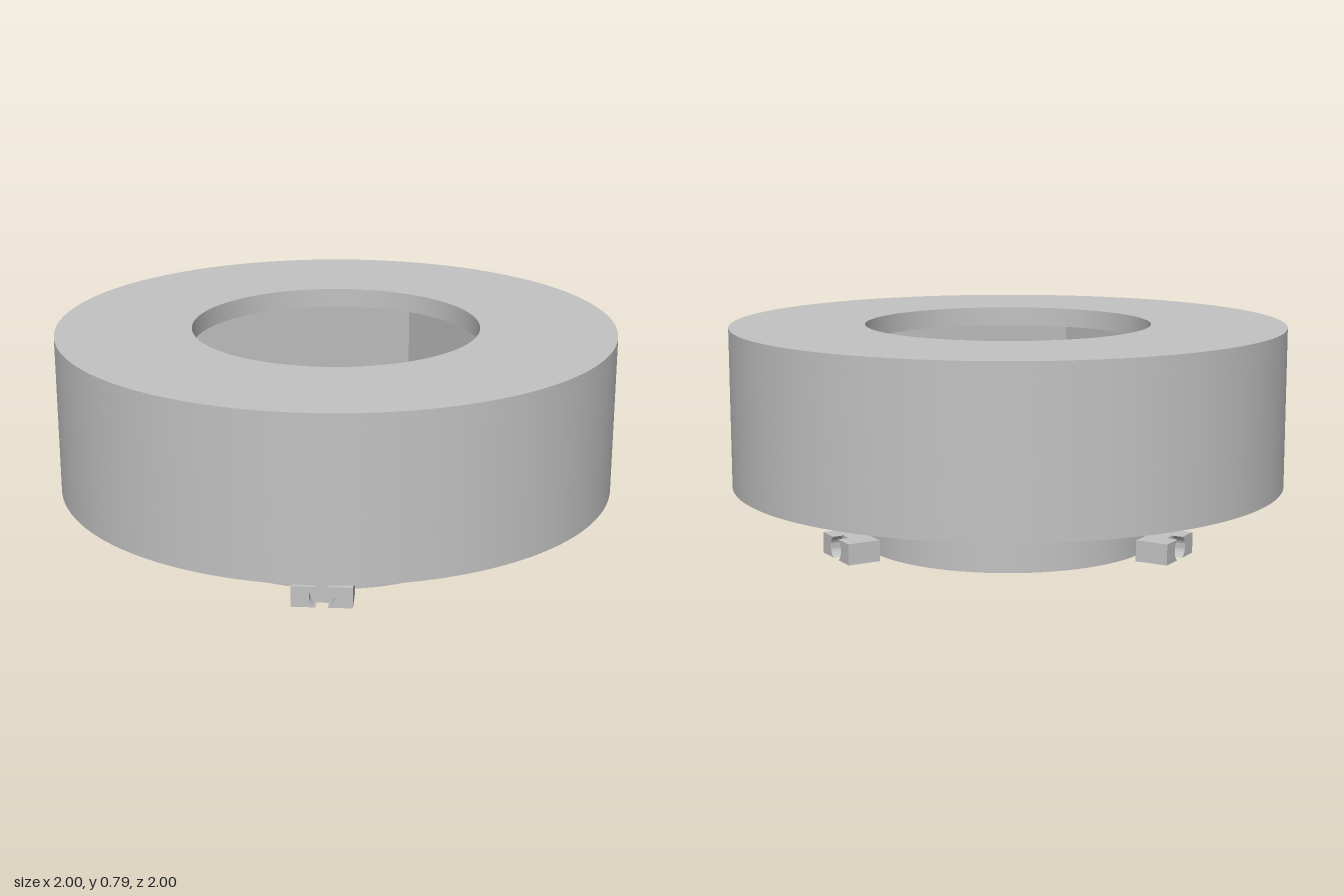
import * as THREE from 'three';
import { toCreasedNormals } from 'three/addons/utils/BufferGeometryUtils.js';

const R = 1, BOTTOM = 0.217, CEILING = 0.72, TOP = 0.79;
const POCKET = 0.65;          // half side of the square pocket
const BORE = 0.515;           // opening in the top plate
const BLIND_TOP = 0.42;       // end of the small blind holes
const CLIP_H = 0.075, CLIP_W = 0.21, CLIP_IN = 0.575, CLIP_OUT = 0.695;
const NOTCH_R = 0.043, NOTCH_DEPTH = 0.04;

export function createModel() {
  const model = new THREE.Group();
  const grey = new THREE.MeshStandardMaterial({ color: 0xc2c2c2 });
  grey.name = 'light grey';

  const add = (parent, name, geometry, x = 0, y = 0, z = 0) => {
    const mesh = new THREE.Mesh(geometry, grey);
    mesh.name = name;
    mesh.position.set(x, y, z);
    parent.add(mesh);
    return mesh;
  };

  const circle = (x, y, r) => new THREE.Path().absarc(x, y, r, 0, Math.PI * 2, true);
  const square = () => new THREE.Path([[-1, -1], [-1, 1], [1, 1], [1, -1]]
    .map(([x, y]) => new THREE.Vector2(x * POCKET, y * POCKET)));

  // Horizontal round slab with holes, from height y0 to y1
  const slab = (name, y0, y1, holes) => {
    const shape = new THREE.Shape().absarc(0, 0, R, 0, Math.PI * 2, false);
    shape.holes.push(...holes);
    const geo = new THREE.ExtrudeGeometry(shape, { depth: y1 - y0, bevelEnabled: false, curveSegments: 96 });
    geo.rotateX(-Math.PI / 2);
    add(model, name, toCreasedNormals(geo, 0.5), 0, y0, 0);
  };

  // Drum: blind holes below, square pocket, top plate with round opening
  const turns = [0, 1, 2].map((k) => k * Math.PI * 2 / 3);
  const blindHoles = turns.map((a) => circle(0.865 * Math.cos(a), 0.865 * Math.sin(a), 0.058));
  slab('drumBase', BOTTOM, BLIND_TOP, [square(), ...blindHoles]);
  slab('drumWall', BLIND_TOP, CEILING, [square()]);
  slab('drumTop', CEILING, TOP, [circle(0, 0, BORE)]);

  // Small plates in the pocket corners
  const tab = 0.152;
  for (const sx of [-1, 1]) for (const sz of [-1, 1]) {
    const c = POCKET - tab / 2;
    add(model, 'cornerTab', new THREE.BoxGeometry(tab, 0.037, tab), sx * c, 0.318, sz * c);
  }

  // Separate round disc under the drum
  add(model, 'disc', new THREE.CylinderGeometry(0.542, 0.542, 0.21, 96), 0, 0.105, 0);

  // Clips around the disc, each with a round notch in the outer face
  const h = CLIP_H / 2, w = CLIP_W / 2;
  const a = Math.asin(h / NOTCH_R);
  const jaw = new THREE.Shape();
  jaw.moveTo(-w, h);
  jaw.lineTo(-w, -h);
  jaw.absarc(0, 0, NOTCH_R, Math.PI + a, Math.PI - a, true);
  jaw.closePath();
  const jawGeo = toCreasedNormals(
    new THREE.ExtrudeGeometry(jaw, { depth: NOTCH_DEPTH, bevelEnabled: false, curveSegments: 16 }), 0.5);
  const backDepth = CLIP_OUT - NOTCH_DEPTH - CLIP_IN;
  const backGeo = new THREE.BoxGeometry(CLIP_W, CLIP_H, backDepth);

  for (const turn of turns) {
    const clip = new THREE.Group();
    clip.name = 'clip';
    clip.position.y = h;
    clip.rotation.y = Math.PI / 2 + turn;
    add(clip, 'clipBack', backGeo, 0, 0, CLIP_IN + backDepth / 2);
    for (const roll of [0, Math.PI]) {
      add(clip, 'clipJaw', jawGeo, 0, 0, CLIP_OUT - NOTCH_DEPTH).rotation.z = roll;
    }
    model.add(clip);
  }
  return model;
}
